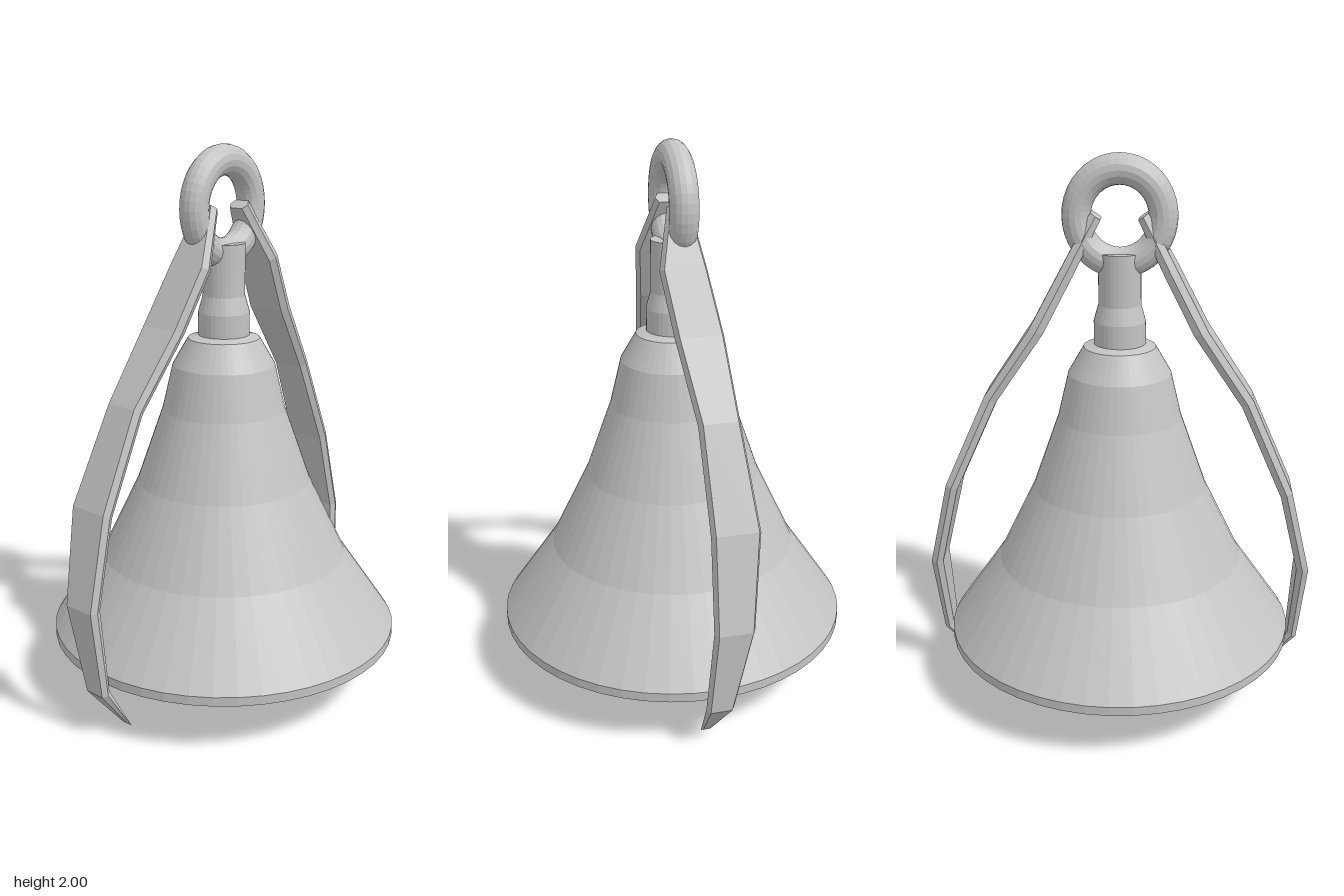
import * as THREE from 'three';

const metal = new THREE.MeshStandardMaterial({ color: 0xc4c4c4, flatShading: true });
metal.name = 'grey metal';

function add(group, name, geometry) {
  const mesh = new THREE.Mesh(geometry, metal);
  mesh.name = name;
  group.add(mesh);
  return mesh;
}

const lathe = (points, sides) =>
  new THREE.LatheGeometry(points.map(([r, y]) => new THREE.Vector2(r, y)), sides);

// Stations along a strap: outer x, outer y, inner x, inner y, front z, back z
const strapStations = [
  [0.10, 1.80, 0.065, 1.775, 0.04, -0.04],
  [0.205, 1.605, 0.16, 1.585, 0.09, -0.075],
  [0.315, 1.40, 0.265, 1.385, 0.065, -0.105],
  [0.48, 1.155, 0.44, 1.13, 0.03, -0.115],
  [0.63, 0.82, 0.59, 0.80, 0.025, -0.147],
  [0.709, 0.49, 0.665, 0.49, 0.032, -0.11],
  [0.684, 0.175, 0.65, 0.187, 0.05, -0.05],
  [0.56, 0.015, 0.54, 0.0, 0.035, 0.0],
];

// Flat bar with a six-sided section, swept through the stations
function strapGeometry(side) {
  const positions = [];
  const index = [];
  const n = 6;
  for (const [ox, oy, ix, iy, zf, zb] of strapStations) {
    const mx = (ox + ix) / 2, my = (oy + iy) / 2;
    const bevel = Math.min(0.012, (zf - zb) * 0.2);
    const section = [
      [ox, oy, zf - bevel], [mx, my, zf], [ix, iy, zf - bevel],
      [ix, iy, zb + bevel], [mx, my, zb], [ox, oy, zb + bevel],
    ];
    section.forEach(([x, y, z]) => positions.push(side * x, y, z));
  }
  const face = (a, b, c) => (side > 0 ? index.push(a, c, b) : index.push(a, b, c));
  const last = (strapStations.length - 1) * n;
  for (let s = 0; s < last; s += n) {
    for (let i = 0; i < n; i++) {
      const j = (i + 1) % n;
      face(s + i, s + n + i, s + j);
      face(s + j, s + n + i, s + n + j);
    }
  }
  // End caps
  for (let i = 1; i < n - 1; i++) {
    face(0, i, i + 1);
    face(last, last + i + 1, last + i);
  }
  const geometry = new THREE.BufferGeometry();
  geometry.setAttribute('position', new THREE.Float32BufferAttribute(positions, 3));
  geometry.setIndex(index);
  geometry.computeVertexNormals();
  return geometry;
}

export function createModel() {
  const model = new THREE.Group();
  model.name = 'bell';

  // Hollow bell: inner wall, flat rim, then outer wall
  add(model, 'bellBody', lathe([
    [0, 1.26], [0.09, 1.26], [0.14, 1.2], [0.18, 1.04], [0.275, 0.77], [0.405, 0.49],
    [0.58, 0.202], [0.645, 0.202], [0.645, 0.235], [0.455, 0.51], [0.32, 0.79],
    [0.225, 1.06], [0.186, 1.225], [0.13, 1.322], [0.09, 1.334], [0, 1.334],
  ], 48));

  // Neck joining the bell to the ring
  add(model, 'neck', lathe([
    [0, 1.3], [0.093, 1.3], [0.093, 1.415], [0.076, 1.475], [0.076, 1.66], [0, 1.66],
  ], 32));

  // Hanging ring
  const ring = add(model, 'hangingRing', new THREE.TorusGeometry(0.151, 0.051, 16, 40));
  ring.position.set(0, 1.785, -0.003);
  ring.scale.y = 1.065;

  // Clapper
  const rod = add(model, 'clapperRod', new THREE.CylinderGeometry(0.03, 0.03, 0.92, 16));
  rod.position.y = 0.83;
  const ball = add(model, 'clapperBall', new THREE.SphereGeometry(0.114, 24, 16));
  ball.position.y = 0.292;
  ball.scale.y = 1.12;

  // Side straps
  add(model, 'leftStrap', strapGeometry(1));
  add(model, 'rightStrap', strapGeometry(-1));

  return model;
}
